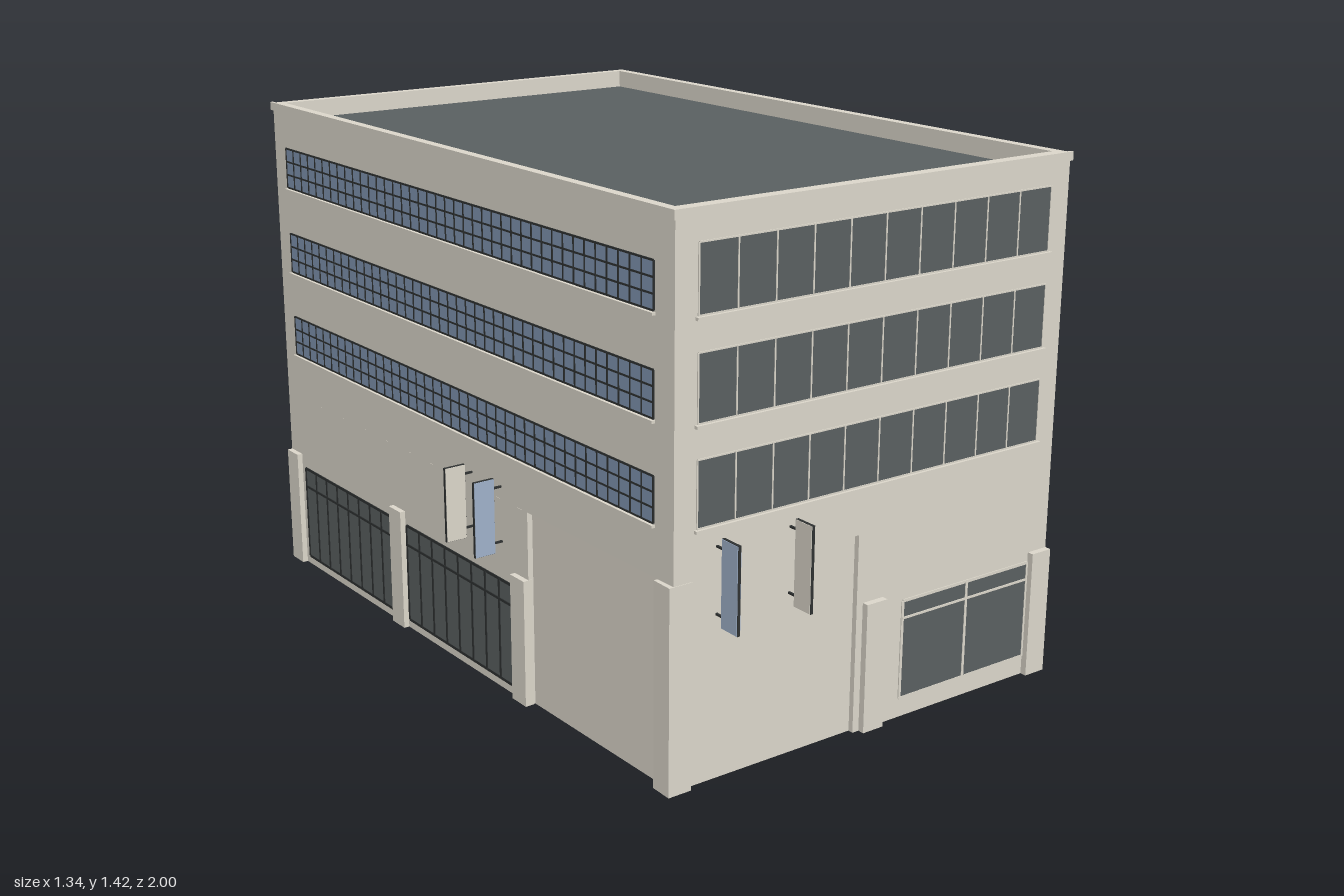
import * as THREE from 'three';

const paint = (name, color) => {
  const m = new THREE.MeshStandardMaterial({ color });
  m.name = name;
  return m;
};

export function createModel() {
  const stone = paint('stone', 0xdcd7cb);
  const slate = paint('slate glass and roofing', 0x5a6061);
  const iron = paint('dark iron', 0x2f3232);
  const blue = paint('blue grey', 0xa0b2cb);
  const blueGlass = paint('blue glass', 0x8094b0);

  const model = new THREE.Group();
  model.name = 'officeBuilding';

  const add = (parent, name, geometry, material) => {
    const mesh = new THREE.Mesh(geometry, material);
    mesh.name = name;
    parent.add(mesh);
    return mesh;
  };
  // Box given by its limits
  const block = (parent, name, mat, x0, x1, y0, y1, z0, z1) => {
    const g = new THREE.BoxGeometry(x1 - x0, y1 - y0, z1 - z0);
    g.translate((x0 + x1) / 2, (y0 + y1) / 2, (z0 + z1) / 2);
    return add(parent, name, g, mat);
  };
  // Upright prism over an [x, z] outline, optionally hollow (the hole winds the other way)
  const outline = pts => pts.map(([x, z]) => new THREE.Vector2(x, -z));
  const prism = (name, mat, pts, y0, y1, hole) => {
    const shape = new THREE.Shape(outline(pts).reverse());
    if (hole) shape.holes.push(new THREE.Path(outline(hole)));
    const g = new THREE.ExtrudeGeometry(shape, { depth: y1 - y0, bevelEnabled: false });
    g.rotateX(-Math.PI / 2);
    g.translate(0, y0, 0);
    return add(model, name, g, mat);
  };

  // Skewed hollow shell, with a shallow recess around the front left corner
  const inner = [[-0.588, -0.973], [0.597, -0.973], [0.638, 0.88], [-0.54, 0.88]];
  prism('upperWalls', stone,
    [[-0.615, -1], [0.624, -1], [0.668, 0.915], [-0.565, 0.915]], 0.54, 1.42, inner);
  prism('groundWalls', stone,
    [[-0.615, -1], [0.624, -1], [0.668, 0.915], [0, 0.915], [0, 0.9],
      [-0.55, 0.9], [-0.566, 0.31], [-0.581, 0.31]], 0.004, 0.54, inner);
  prism('roof', slate, inner, 1.355, 1.37);

  // Cornice along the front and left sides
  prism('cornice', stone,
    [[-0.624, -1], [-0.615, -1], [-0.565, 0.915], [0.668, 0.915], [0.668, 0.925], [-0.574, 0.925]],
    1.4, 1.423);

  // Local frames: x runs along the facade, z points outwards
  const front = new THREE.Group();
  front.name = 'frontFacade';
  front.position.z = 0.915;
  const left = new THREE.Group();
  left.name = 'leftFacade';
  left.position.x = -0.589;
  left.rotation.y = -(Math.PI / 2 - 0.026);
  model.add(front, left);

  // Glazing with evenly spaced bars
  const glazing = (parent, name, glass, bar, x0, x1, y0, y1, cols, rows, w) => {
    block(parent, name + 'Glass', glass, x0, x1, y0, y1, -0.002, 0.0015);
    for (let i = 0; i <= cols; i++) {
      const x = x0 + (x1 - x0) * i / cols;
      block(parent, name + 'Mullion', bar, x - w / 2, x + w / 2, y0, y1, -0.002, 0.003);
    }
    for (let j = 0; j <= rows; j++) {
      const y = y0 + (y1 - y0) * j / rows;
      block(parent, name + 'Rail', bar, x0, x1, y - w / 2, y + w / 2, -0.002, 0.0026);
    }
  };

  // Three upper storeys of window bands
  for (let k = 0; k < 3; k++) {
    const y = 0.668 + k * 0.253;
    glazing(front, 'frontWindow', slate, stone, -0.5, 0.605, y, y + 0.167, 10, 1, 0.004);
    block(front, 'frontSill', stone, -0.508, 0.613, y - 0.01, y - 0.002, 0, 0.01);
    glazing(left, 'sideWindow', blueGlass, iron, -0.93, 0.84, y + 0.006, y + 0.121, 40, 3, 0.005);
    block(left, 'sideSill', stone, -0.935, 0.845, y - 0.004, y + 0.003, 0, 0.01);
  }

  // Ground floor shop windows
  glazing(front, 'shopWindow', slate, stone, 0.155, 0.6, 0.057, 0.327, 2, 1, 0.008);
  block(front, 'shopTransom', stone, 0.155, 0.6, 0.277, 0.283, 0, 0.004);
  for (const [a, b] of [[-0.91, -0.385], [-0.305, 0.24]]) {
    glazing(left, 'sideShopWindow', slate, iron, a, b, 0.03, 0.315, 8, 1, 0.008);
    block(left, 'sideShopTransom', iron, a, b, 0.255, 0.262, 0, 0.004);
  }

  // Ground floor piers and the tall corner pillar
  for (const x of [0.02, 0.602])
    block(front, 'frontPier', stone, x, x + 0.066, 0.004, 0.355, -0.01, 0.018);
  for (const x of [-0.998, -0.378, 0.248])
    block(left, 'sidePier', stone, x, x + 0.064, 0.004, 0.355, -0.01, 0.016);
  block(model, 'cornerPillar', stone, -0.578, -0.512, 0.004, 0.54, 0.855, 0.917);
  block(front, 'pillarJoint', slate, -0.512, -0.507, 0.004, 0.54, -0.016, -0.008);

  // Entrance lobby inside the corner
  block(model, 'lobbyWall', stone, -0.004, 0.004, 0.004, 0.54, 0.695, 0.89);
  block(model, 'lobbySideWall', stone, -0.56, -0.35, 0.004, 0.54, 0.346, 0.354);
  const lobby = new THREE.Group();
  lobby.name = 'curvedLobbyScreen';
  lobby.position.z = 0.35;
  model.add(lobby);
  const screenGlass = slate.clone();
  screenGlass.side = THREE.DoubleSide;
  add(lobby, 'curvedGlass',
    new THREE.CylinderGeometry(0.345, 0.345, 0.54, 24, 1, true, Math.PI * 1.5, Math.PI / 2),
    screenGlass).position.y = 0.27;
  for (let i = 0; i <= 18; i++) {
    const a = Math.PI * (1.5 + i / 36);
    const post = add(lobby, 'screenPost', new THREE.BoxGeometry(0.007, 0.536, 0.012), stone);
    post.position.set(Math.sin(a) * 0.345, 0.272, Math.cos(a) * 0.345);
    post.rotation.y = a;
  }
  for (let j = 0; j <= 6; j++) {
    const g = new THREE.TorusGeometry(0.345, 0.004, 4, 24, Math.PI / 2);
    g.rotateZ(Math.PI / 2).rotateX(Math.PI / 2);
    add(lobby, 'screenRail', g, stone).position.y = 0.005 + j * 0.0885;
  }

  // Projecting signs: dark frame, coloured panels and two brackets
  const sign = (parent, x, y, h, face) => {
    const g = new THREE.Group();
    g.name = 'projectingSign';
    g.position.set(x, y, 0);
    parent.add(g);
    block(g, 'signFrame', iron, -0.004, 0.004, 0, h, 0.024, 0.085);
    for (const s of [-1, 1])
      block(g, 'signPanel', face, s * 0.0045 - 0.001, s * 0.0045 + 0.001, 0.001, h - 0.001, 0.025, 0.084);
    for (const b of [0.025, h - 0.03])
      block(g, 'signBracket', iron, -0.003, 0.003, b, b + 0.005, 0, 0.026);
  };
  sign(front, -0.44, 0.415, 0.225, blue);
  sign(front, -0.22, 0.415, 0.225, stone);
  sign(left, 0.05, 0.397, 0.206, stone);
  sign(left, 0.19, 0.397, 0.206, blue);

  return model;
}
